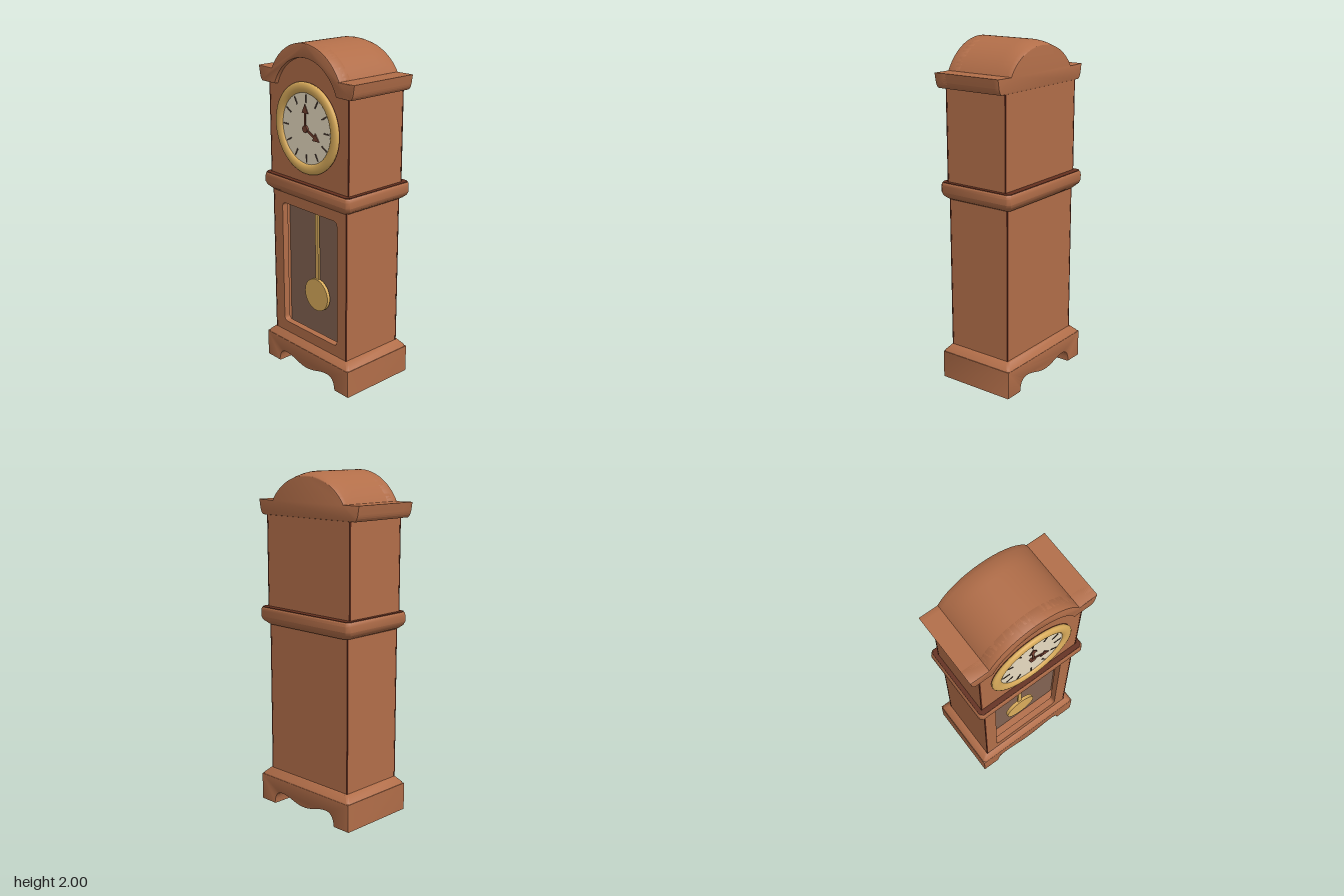
import * as THREE from 'three';
import { toCreasedNormals } from 'three/addons/utils/BufferGeometryUtils.js';

const mat = (name, color) => Object.assign(new THREE.MeshStandardMaterial({ color }), { name });

export function createModel() {
  const wood = mat('wood', 0xb26e49);
  const darkWood = mat('darkWood', 0x64301f);
  const handWood = mat('handWood', 0x74402f);
  const markBrown = mat('markBrown', 0x4c3d34);
  const interior = mat('interior', 0x836352);
  const brass = mat('brass', 0xdbad5c);
  const cream = mat('cream', 0xe8dcc2);

  const clock = new THREE.Group();
  clock.name = 'longcaseClock';

  const add = (name, geo, material, x = 0, y = 0, z = 0, parent = clock) => {
    const mesh = new THREE.Mesh(geo, material);
    mesh.name = name;
    mesh.position.set(x, y, z);
    parent.add(mesh);
    return mesh;
  };

  // Shape extruded from z0 to z1, with an optional small bevel kept inside the outline
  const slab = (shape, z0, z1, bevel = 0, steps = 1) => {
    const geo = new THREE.ExtrudeGeometry(shape, {
      depth: z1 - z0 - 2 * bevel, steps, curveSegments: 32, bevelEnabled: bevel > 0,
      bevelThickness: bevel, bevelSize: bevel, bevelOffset: -bevel, bevelSegments: 2,
    });
    return geo.translate(0, 0, z0 + bevel);
  };

  // Rectangle with rounded corners, as a Shape or a Path
  const roundRect = (Type, w, y0, y1, r) => {
    const s = new Type();
    s.moveTo(-w + r, y0);
    s.lineTo(w - r, y0).quadraticCurveTo(w, y0, w, y0 + r);
    s.lineTo(w, y1 - r).quadraticCurveTo(w, y1, w - r, y1);
    s.lineTo(-w + r, y1).quadraticCurveTo(-w, y1, -w, y1 - r);
    s.lineTo(-w, y0 + r).quadraticCurveTo(-w, y0, -w + r, y0);
    return s;
  };

  // Closed solid through stacked rectangles [halfX, halfZ, y] with clipped corners
  const loft = (rows, c = 0.012) => {
    const pos = [], idx = [], n = 8;
    for (const [x, z, y] of rows) {
      for (const [px, pz] of [[x, z - c], [x - c, z], [c - x, z], [-x, z - c],
        [-x, c - z], [c - x, -z], [x - c, -z], [x, c - z]]) pos.push(px, y, pz);
    }
    for (let r = 0; r < rows.length - 1; r++) {
      for (let i = 0; i < n; i++) {
        const a = r * n + i, b = r * n + (i + 1) % n;
        idx.push(a, a + n, b, b, a + n, b + n);
      }
    }
    const top = (rows.length - 1) * n;
    for (let i = 1; i < n - 1; i++) {
      idx.push(0, i, i + 1, top, top + i + 1, top + i);
    }
    const geo = new THREE.BufferGeometry();
    geo.setAttribute('position', new THREE.Float32BufferAttribute(pos, 3));
    geo.setIndex(idx);
    return toCreasedNormals(geo, 0.8);
  };

  // Thin dark edging down the four corners of a case section
  const cornerEdges = (name, halfX, y0, y1) => {
    for (const sx of [-1, 1]) {
      for (const z of [-0.197, 0.207]) {
        add(name, new THREE.BoxGeometry(0.008, y1 - y0, 0.008), darkWood,
          sx * (halfX - 0.003), (y0 + y1) / 2, z);
      }
    }
  };

  // Plinth with scalloped feet and a sloping shoulder
  const feet = new THREE.Shape();
  feet.moveTo(-0.365, 0);
  feet.lineTo(-0.25, 0);
  feet.bezierCurveTo(-0.245, 0.05, -0.23, 0.08, -0.185, 0.08);
  feet.bezierCurveTo(-0.12, 0.08, -0.07, 0.046, 0, 0.046);
  feet.bezierCurveTo(0.07, 0.046, 0.12, 0.08, 0.185, 0.08);
  feet.bezierCurveTo(0.23, 0.08, 0.245, 0.05, 0.25, 0);
  feet.lineTo(0.365, 0);
  feet.lineTo(0.365, 0.165);
  feet.lineTo(-0.365, 0.165);
  add('plinth', toCreasedNormals(slab(feet, -0.245, 0.245, 0.006), 0.6), wood);
  add('plinthShoulder', loft([[0.363, 0.243, 0.158], [0.361, 0.241, 0.17], [0.325, 0.212, 0.205]]), wood);

  // Trunk: solid rear, hollow middle and a thin door frame around the window
  const trunkLayer = (name, z0, z1, hole) => {
    const shape = roundRect(THREE.Shape, 0.315, 0.19, 1.13, 0.004);
    if (hole) shape.holes.push(hole);
    add(name, slab(shape, z0, z1), wood);
  };
  trunkLayer('trunkBack', -0.2, 0.115);
  trunkLayer('trunkSides', 0.115, 0.17, roundRect(THREE.Path, 0.28, 0.23, 1.08, 0.01));
  trunkLayer('doorFrame', 0.17, 0.21, roundRect(THREE.Path, 0.236, 0.272, 1.04, 0.03));
  add('caseBack', slab(roundRect(THREE.Shape, 0.279, 0.231, 1.079, 0.01), 0.112, 0.119), interior);
  cornerEdges('trunkEdge', 0.315, 0.2, 1.115);

  // Pendulum
  const pendulum = new THREE.Group();
  pendulum.name = 'pendulum';
  clock.add(pendulum);
  add('pendulumRod', new THREE.BoxGeometry(0.026, 0.56, 0.012), brass, -0.007, 0.8, 0.14, pendulum);
  const bob = new THREE.CylinderGeometry(0.1, 0.1, 0.02, 40).rotateX(Math.PI / 2);
  add('pendulumBob', bob, brass, -0.005, 0.5, 0.145, pendulum);

  // Waist moulding with a dark upper ledge
  add('waistMoulding', loft([[0.318, 0.213, 1.105], [0.335, 0.222, 1.115], [0.354, 0.239, 1.132],
    [0.362, 0.247, 1.152], [0.362, 0.247, 1.185], [0.36, 0.245, 1.2], [0.355, 0.241, 1.207]], 0.018), wood);
  add('waistLedge', loft([[0.354, 0.24, 1.204], [0.354, 0.24, 1.21]], 0.018), darkWood);

  // Hood body with arched top
  const hood = new THREE.Shape();
  hood.moveTo(-0.33, 1.2);
  hood.lineTo(0.33, 1.2);
  hood.lineTo(0.33, 1.79);
  hood.lineTo(0.26, 1.79);
  hood.absarc(0, 1.655, 0.293, Math.atan2(0.135, 0.26), Math.PI - Math.atan2(0.135, 0.26), false);
  hood.lineTo(-0.33, 1.79);
  add('hood', toCreasedNormals(slab(hood, -0.2, 0.21), 0.6), wood);
  cornerEdges('hoodEdge', 0.33, 1.2, 1.75);

  // Arched cornice with side ears: notched around the dial in front, closed behind
  const outer = Math.atan2(0.146, 0.28), inner = Math.atan2(0.098, 0.255);
  const corniceShape = (notched) => {
    const s = new THREE.Shape();
    s.moveTo(0.255, 1.745);
    s.lineTo(0.366, 1.745);
    s.quadraticCurveTo(0.382, 1.755, 0.388, 1.785);
    s.lineTo(0.396, 1.832);
    s.lineTo(0.28, 1.83);
    s.absarc(0, 1.684, 0.316, outer, Math.PI - outer, false);
    s.lineTo(-0.396, 1.832);
    s.lineTo(-0.388, 1.785);
    s.quadraticCurveTo(-0.382, 1.755, -0.366, 1.745);
    s.lineTo(-0.255, 1.745);
    if (notched) s.absarc(0, 1.647, 0.273, Math.PI - inner, inner, true);
    return s;
  };
  add('corniceFront', toCreasedNormals(slab(corniceShape(true), 0.15, 0.235, 0.005), 0.6), wood);

  // The rear part slopes down towards the back
  const rear = slab(corniceShape(false), -0.203, 0.2, 0.003, 14);
  const p = rear.attributes.position;
  for (let i = 0; i < p.count; i++) {
    const t = Math.max(0, (-0.1 - p.getZ(i)) / 0.103);
    const lift = Math.max(0, p.getY(i) - 1.84) / 0.16;
    p.setY(i, p.getY(i) - 0.025 * t * t * lift);
  }
  add('corniceRear', toCreasedNormals(rear, 0.6), wood);

  // Dial: brass bezel on a dark backing, cream face, hour marks and hands
  const dial = new THREE.Group();
  dial.name = 'dial';
  dial.position.set(0, 1.528, 0.21);
  clock.add(dial);
  const backing = new THREE.CylinderGeometry(0.258, 0.258, 0.012, 64).rotateX(Math.PI / 2);
  add('dialBacking', backing, darkWood, 0, 0, 0.004, dial);
  const bezel = new THREE.TorusGeometry(0.231, 0.03, 16, 64).scale(1, 1, 0.55);
  add('bezel', bezel, brass, 0, 0, 0.011, dial);
  const face = new THREE.CylinderGeometry(0.215, 0.215, 0.008, 56).rotateX(Math.PI / 2);
  add('dialFace', face, cream, 0, 0, 0.008, dial);

  for (let i = 0; i < 12; i++) {
    const a = (i * Math.PI) / 6;
    const mark = add('hourMark', new THREE.BoxGeometry(0.008, 0.045, 0.004), markBrown,
      Math.sin(a) * 0.17, Math.cos(a) * 0.17, 0.013, dial);
    mark.rotation.z = -a;
  }

  const hand = (name, length, angle, z) => {
    const s = new THREE.Shape();
    const points = [[-0.007, 0], [0.007, 0], [0.007, length - 0.05], [0.026, length - 0.05],
      [0, length], [-0.026, length - 0.05], [-0.007, length - 0.05]];
    s.setFromPoints(points.map(([x, y]) => new THREE.Vector2(x, y)));
    add(name, slab(s, 0, 0.005), handWood, 0, 0, z, dial).rotation.z = angle;
  };
  hand('minuteHand', 0.14, 0, 0.018);
  hand('hourHand', 0.125, -2.03, 0.014);
  const hub = new THREE.CylinderGeometry(0.02, 0.02, 0.012, 20).rotateX(Math.PI / 2);
  add('handHub', hub, handWood, 0, 0, 0.019, dial);

  return clock;
}
